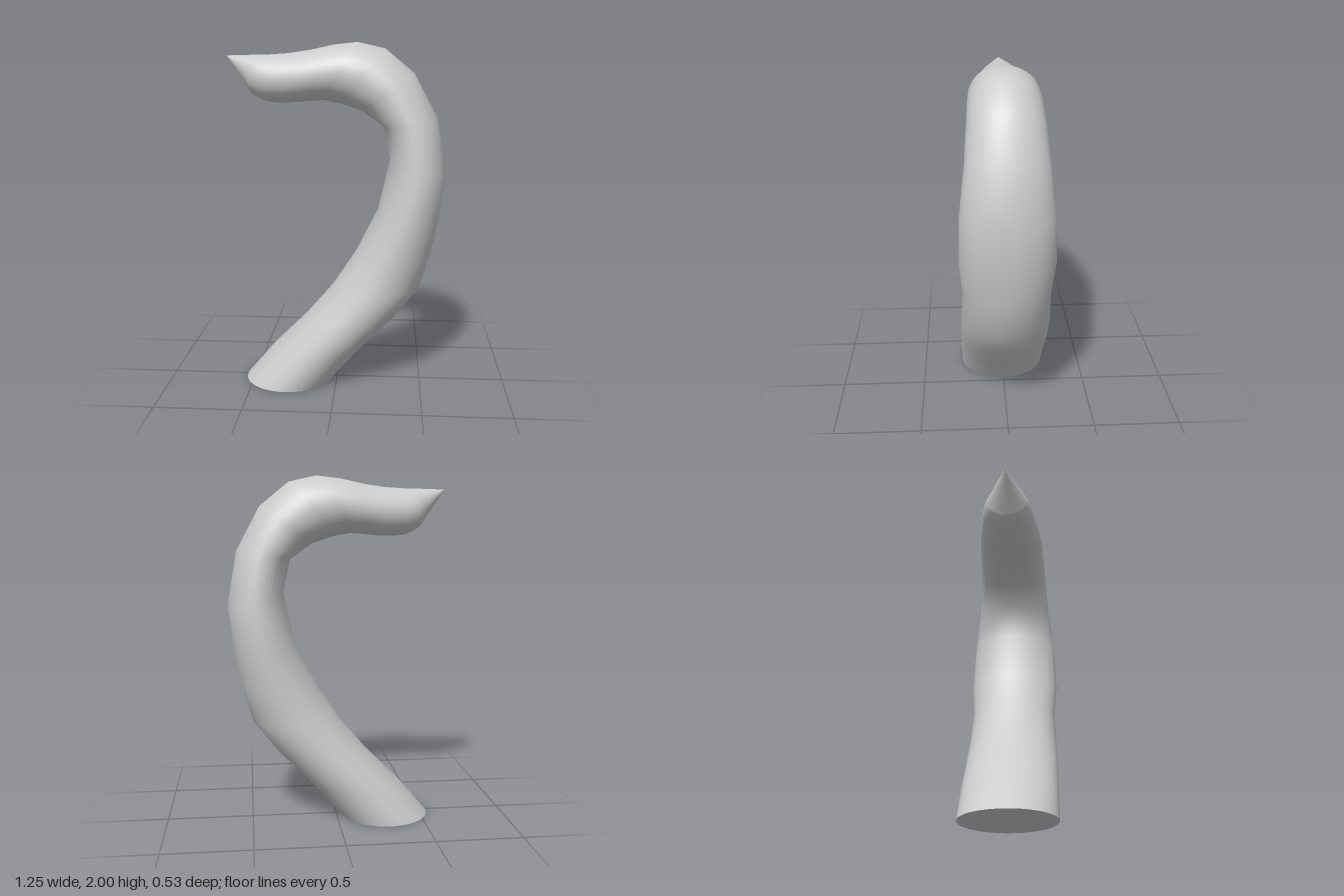
import * as THREE from 'three';

const SIDES = 40;

// Cross-sections: [inner x, inner y, outer x, outer y, half width in z]
const SECTIONS = [
  [-0.55, 0, -0.03, 0, 0.26],
  [-0.38, 0.2, 0.14, 0.2, 0.26],
  [-0.18, 0.4, 0.34, 0.4, 0.26],
  [-0.02, 0.59, 0.49, 0.59, 0.255],
  [0.11, 0.79, 0.55, 0.8, 0.247],
  [0.24, 1.05, 0.59, 0.99, 0.265],
  [0.305, 1.345, 0.625, 1.27, 0.256],
  [0.265, 1.53, 0.57, 1.58, 0.226],
  [0.14, 1.62, 0.435, 1.83, 0.212],
  [0.01, 1.662, 0.27, 1.965, 0.203],
  [-0.08, 1.678, 0.115, 2.0, 0.195],
  [-0.18, 1.67, -0.02, 1.985, 0.185],
  [-0.26, 1.663, -0.16, 1.955, 0.172],
  [-0.34, 1.662, -0.28, 1.938, 0.158],
  [-0.4, 1.67, -0.37, 1.932, 0.145],
  [-0.45, 1.69, -0.42, 1.93, 0.132],
  [-0.485, 1.715, -0.45, 1.93, 0.115],
];

// Skins a row of elliptical sections into one smooth surface
function loft(name, sections) {
  const pos = [], index = [];
  for (const [ix, iy, ox, oy, w] of sections) {
    for (let j = 0; j < SIDES; j++) {
      const a = (j / SIDES) * Math.PI * 2, c = Math.cos(a) / 2;
      pos.push((ix + ox) / 2 + c * (ox - ix), (iy + oy) / 2 + c * (oy - iy), w * Math.sin(a));
    }
  }
  for (let i = 0; i < sections.length - 1; i++) {
    for (let j = 0; j < SIDES; j++) {
      const k = (j + 1) % SIDES;
      const a = i * SIDES + j, b = i * SIDES + k;
      index.push(a, a + SIDES, b, b, a + SIDES, b + SIDES);
    }
  }
  const geo = new THREE.BufferGeometry();
  geo.setAttribute('position', new THREE.Float32BufferAttribute(pos, 3));
  geo.setIndex(index);
  geo.computeVertexNormals();
  const mesh = new THREE.Mesh(geo, new THREE.MeshStandardMaterial({ color: 0xcccccc }));
  mesh.name = name;
  return mesh;
}

const point = (x, y) => [x, y, x, y, 0];

export function createModel() {
  const group = new THREE.Group();
  group.name = 'curvedHorn';
  group.add(
    loft('hornBody', SECTIONS),
    // Off-centre pointed end
    loft('hornTip', [SECTIONS[SECTIONS.length - 1], point(-0.63, 1.925)]),
    // Flat underside
    loft('baseCap', [point(-0.29, 0), SECTIONS[0]]),
  );
  return group;
}
